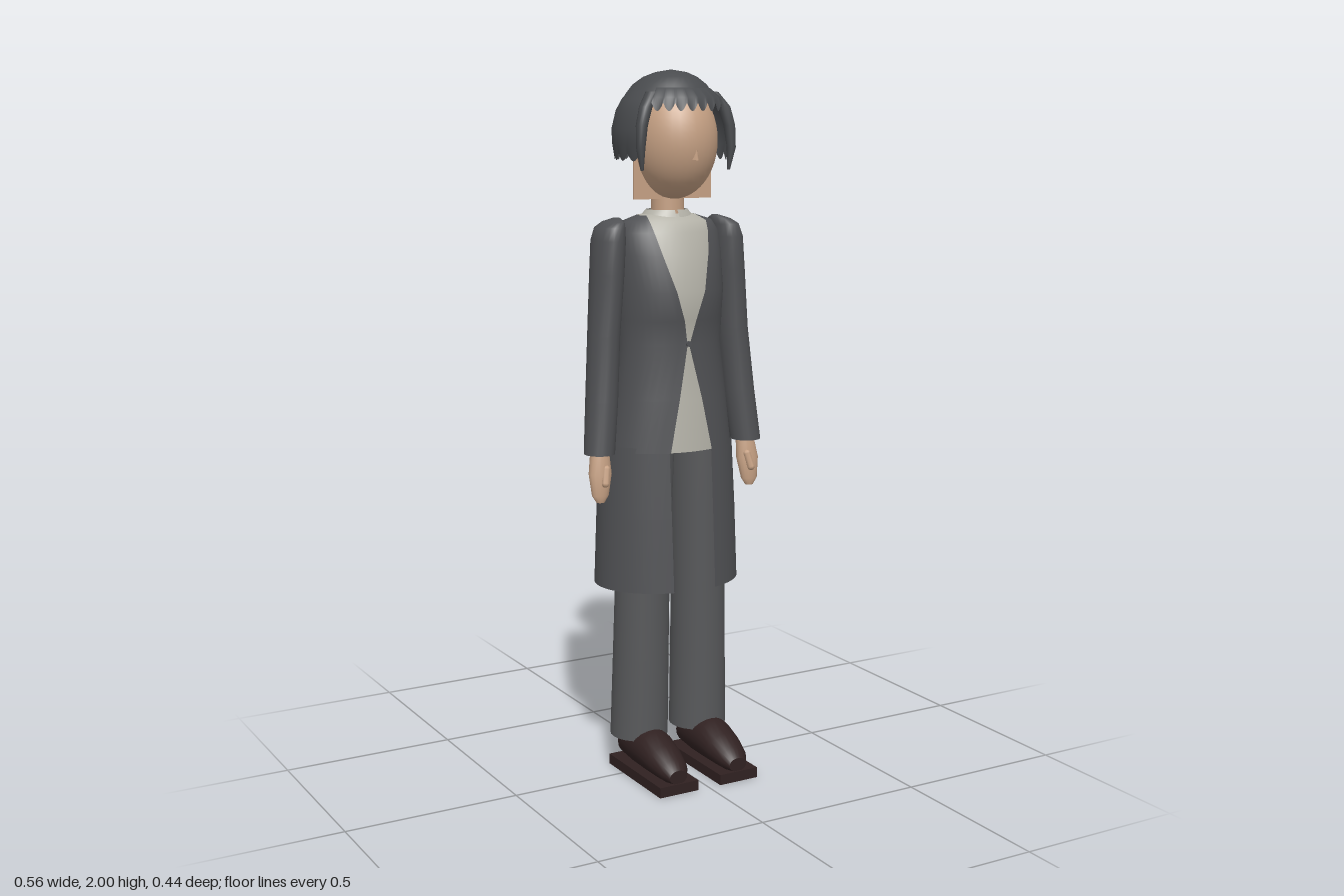
import * as THREE from 'three';

const mat = (name, color, side = THREE.FrontSide) => {
  const m = new THREE.MeshStandardMaterial({ color, side });
  m.name = name;
  return m;
};

// Loft of elliptical rings [y, rx, rz, cx, cz, halfOpening]; angle t starts at the front (+z).
function loft(rings, { seg = 32, from = 0, to = Math.PI * 2, cap = false, hem = null } = {}) {
  const pos = [], idx = [];
  const closed = to - from > 6.28 && !rings.some(r => r[5]);
  const cols = closed ? seg : seg + 1;
  rings.forEach(([y, rx, rz, cx = 0, cz = 0, open = 0], i) => {
    const o = open ? Math.asin(Math.min(1, open / rx)) : 0;
    for (let j = 0; j < cols; j++) {
      const t = from + o + (to - from - 2 * o) * j / seg;
      pos.push(cx + rx * Math.sin(t), y + (hem && i === 0 ? hem(j / seg) : 0), cz + rz * Math.cos(t));
    }
  });
  for (let i = 0; i < rings.length - 1; i++) {
    for (let j = 0; j < seg; j++) {
      const k = (j + 1) % cols, a = i * cols, b = a + cols;
      idx.push(a + j, a + k, b + k, a + j, b + k, b + j);
    }
  }
  // separate vertices keep the end caps crisp
  if (cap) [0, rings.length - 1].forEach((r, end) => {
    const base = pos.length / 3, [y, , , cx = 0, cz = 0] = rings[r];
    pos.push(cx, y, cz);
    for (let j = 0; j < cols; j++) {
      const q = (r * cols + j) * 3;
      pos.push(pos[q], pos[q + 1], pos[q + 2]);
    }
    for (let j = 0; j < cols; j++) {
      const p = base + 1 + j, n = base + 1 + (j + 1) % cols;
      if (end) idx.push(base, p, n); else idx.push(base, n, p);
    }
  });
  const g = new THREE.BufferGeometry();
  g.setAttribute('position', new THREE.Float32BufferAttribute(pos, 3));
  g.setIndex(idx);
  g.computeVertexNormals();
  return g;
}

export function createModel() {
  const root = new THREE.Group();
  const coat = mat('coat grey', 0x505154, THREE.DoubleSide);
  const trouser = mat('trouser grey', 0x58595b);
  const hair = mat('hair grey', 0x494b4e, THREE.DoubleSide);
  const shirt = mat('shirt off-white', 0xb4b2a8, THREE.DoubleSide);
  const skin = mat('skin', 0xc6a184);
  const shoe = mat('shoe brown', 0x302121);

  const add = (name, geo, material, x = 0, y = 0, z = 0) => {
    const m = new THREE.Mesh(geo, material);
    m.name = name;
    m.position.set(x, y, z);
    root.add(m);
    return m;
  };

  // Torso: jacket open in a V above and below one button, with the shirt inside
  const torso = [
    [0.955, 0.188, 0.140, 0, -0.015, 0.066],
    [1.10, 0.170, 0.125, 0, -0.010, 0.036],
    [1.25, 0.154, 0.109, 0, -0.011, 0.003],
    [1.32, 0.157, 0.124, 0, -0.014, 0.018],
    [1.40, 0.161, 0.134, 0, -0.016, 0.044],
    [1.50, 0.160, 0.115, 0, -0.020, 0.072],
    [1.56, 0.155, 0.098, 0, -0.023, 0.085],
    [1.59, 0.135, 0.083, 0, -0.023, 0.089],
    [1.605, 0.088, 0.060, 0, -0.028, 0.078],
  ];
  add('jacket', loft(torso, { seg: 40 }), coat);
  const inner = torso.map(([y, rx, rz, cx, cz]) => [y, rx * 0.97, rz * 0.97, cx, cz]);
  inner.push([1.612, 0.05, 0.046, 0, -0.022]);
  add('shirt', loft(inner, { seg: 40, cap: true }), shirt);
  add('shirtCollar', loft([
    [1.58, 0.088, 0.070, 0, -0.024, 0.006],
    [1.60, 0.078, 0.064, 0, -0.025, 0.005],
    [1.62, 0.060, 0.054, 0, -0.025, 0.004],
  ]), shirt);
  const button = add('button', new THREE.CylinderGeometry(0.008, 0.008, 0.008, 12), coat, 0, 1.255, 0.1);
  button.rotation.x = Math.PI / 2;

  // Coat skirt, open at the front
  add('coatSkirt', loft([
    [0.56, 0.215, 0.175, 0, -0.030, 0.067],
    [0.77, 0.209, 0.162, 0, -0.030, 0.067],
    [0.97, 0.200, 0.148, 0, -0.030, 0.067],
  ], { seg: 40 }), coat);

  // Limbs, mirrored by side
  for (const s of [1, -1]) {
    const side = s > 0 ? 'left' : 'right';
    add(side + 'Sleeve', loft([
      [0.955, 0.043, 0.046, s * 0.238, 0.017],
      [1.10, 0.045, 0.049, s * 0.222, 0.002],
      [1.28, 0.044, 0.052, s * 0.207, -0.012],
      [1.45, 0.045, 0.060, s * 0.194, -0.016],
      [1.54, 0.044, 0.063, s * 0.188, -0.018],
      [1.575, 0.038, 0.057, s * 0.182, -0.020],
      [1.59, 0.027, 0.044, s * 0.170, -0.022],
      [1.60, 0.008, 0.015, s * 0.158, -0.024],
    ], { seg: 20, cap: true }), coat);
    add(side + 'Hand', loft([
      [0.82, 0.012, 0.010, s * 0.243, 0.032],
      [0.84, 0.025, 0.017, s * 0.243, 0.031],
      [0.90, 0.034, 0.024, s * 0.240, 0.025],
      [0.97, 0.026, 0.022, s * 0.236, 0.014],
    ], { seg: 16, cap: true }), skin);
    const thumb = add(side + 'Thumb', new THREE.CapsuleGeometry(0.011, 0.04, 4, 8), skin, s * 0.233, 0.895, 0.046);
    thumb.rotation.set(-0.25, 0, s * 0.2);

    add(side + 'TrouserLeg', loft([
      [0.11, 0.083, 0.084, s * 0.098, -0.016],
      [0.35, 0.080, 0.081, s * 0.095, -0.010],
      [0.56, 0.078, 0.079, s * 0.092, -0.005],
      [0.80, 0.079, 0.086, s * 0.086, -0.005],
      [1.0, 0.082, 0.092, s * 0.080, -0.008],
    ], { seg: 24, cap: true }), trouser);

    // shoe upper lofted from heel to toe, then laid along z
    const upper = loft([
      [-0.075, 0.035, 0.032, 0, -0.065],
      [-0.05, 0.052, 0.050, 0, -0.080],
      [0.01, 0.058, 0.060, 0, -0.085],
      [0.08, 0.060, 0.058, 0, -0.083],
      [0.14, 0.055, 0.046, 0, -0.071],
      [0.19, 0.043, 0.034, 0, -0.058],
      [0.215, 0.028, 0.020, 0, -0.048],
    ], { seg: 20, cap: true }).rotateX(Math.PI / 2);
    add(side + 'ShoeUpper', upper, shoe, s * 0.098);
    add(side + 'ShoeSole', new THREE.BoxGeometry(0.123, 0.03, 0.305), shoe, s * 0.098, 0.015, 0.0675);
  }

  // Neck and head, with the flat plate behind the jaw
  add('neck', new THREE.CylinderGeometry(0.045, 0.047, 0.15, 20), skin, 0, 1.64, -0.02);
  add('head', new THREE.SphereGeometry(1, 32, 24).scale(0.118, 0.16, 0.127), skin, 0, 1.81, 0.016);
  add('jawPlate', new THREE.BoxGeometry(0.245, 0.22, 0.005), skin, 0, 1.76, 0.008);
  const nose = add('nose', new THREE.ConeGeometry(0.014, 0.04, 4), skin, 0, 1.78, 0.136);
  nose.rotation.x = 0.2;

  // Hair: crown, scalloped sides and back, fringe, side locks, bun
  add('hairCrown', loft([
    [1.933, 0.122, 0.122, 0, -0.01], [1.96, 0.102, 0.102, 0, -0.008],
    [1.98, 0.075, 0.075, 0, -0.005], [1.993, 0.043, 0.043], [2.0, 0.001, 0.001],
  ]), hair);
  const deg = Math.PI / 180;
  const scallop = (n, h) => u => -h * Math.abs(Math.sin(u * n * Math.PI));
  add('hairBack', loft([
    [1.775, 0.155, 0.155], [1.80, 0.162, 0.162], [1.84, 0.164, 0.164],
    [1.89, 0.152, 0.152], [1.92, 0.136, 0.136], [1.945, 0.112, 0.112, 0, -0.006],
  ], { seg: 84, from: 62 * deg, to: 298 * deg, hem: scallop(14, 0.02) }), hair);
  add('fringe', loft([
    [1.91, 0.148, 0.146], [1.925, 0.139, 0.138], [1.95, 0.110, 0.110, 0, -0.004],
  ], { seg: 48, from: -50 * deg, to: 50 * deg, hem: scallop(8, 0.022) }), hair);
  for (const s of [1, -1]) {
    add(s > 0 ? 'leftLock' : 'rightLock', loft([
      [1.73, 0.004, 0.005, s * 0.136, 0.082], [1.79, 0.012, 0.014, s * 0.142, 0.086],
      [1.85, 0.016, 0.017, s * 0.137, 0.083], [1.90, 0.018, 0.019, s * 0.122, 0.078],
      [1.94, 0.016, 0.018, s * 0.095, 0.062],
    ], { seg: 12, cap: true }), hair);
  }
  add('bun', new THREE.SphereGeometry(1, 20, 14).scale(0.064, 0.063, 0.06), hair, 0, 1.815, -0.162);

  return root;
}
